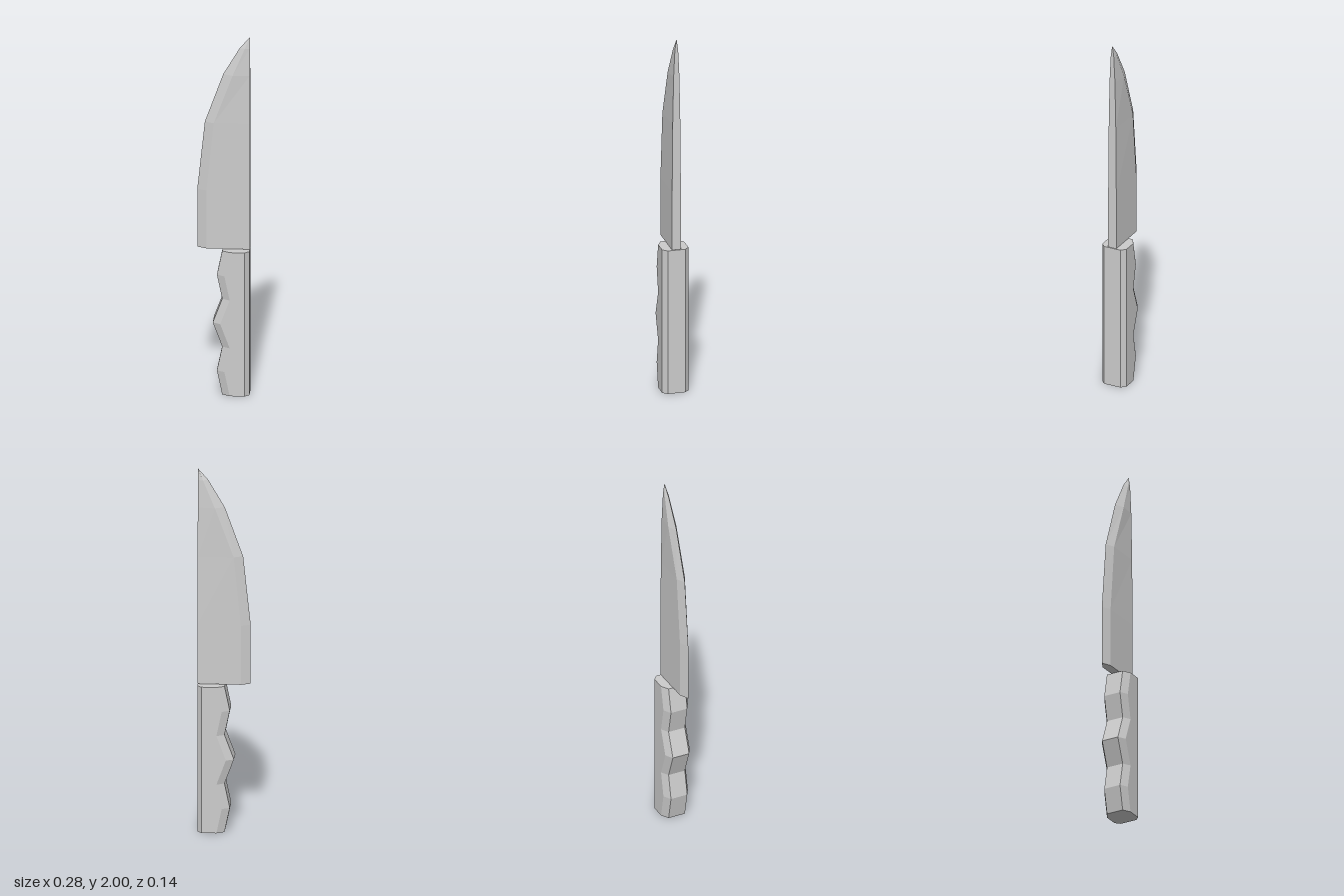
import * as THREE from 'three';

// Skins a stack of rings; each ring runs from -x through +z to +x and back, bottom ring first.
function loft(name, rings, material) {
  const pos = [];
  const tri = (a, b, c) => pos.push(...a, ...b, ...c);
  const n = rings[0].length;
  for (let r = 0; r < rings.length - 1; r++) {
    const lo = rings[r], hi = rings[r + 1];
    for (let i = 0; i < n; i++) {
      const j = (i + 1) % n;
      tri(lo[i], lo[j], hi[j]);
      tri(lo[i], hi[j], hi[i]);
    }
  }
  const bottom = rings[0], top = rings[rings.length - 1];
  for (let i = 1; i < n - 1; i++) {
    tri(bottom[0], bottom[i + 1], bottom[i]);
    tri(top[0], top[i], top[i + 1]);
  }
  const geometry = new THREE.BufferGeometry();
  geometry.setAttribute('position', new THREE.Float32BufferAttribute(pos, 3));
  geometry.computeVertexNormals();
  const mesh = new THREE.Mesh(geometry, material);
  mesh.name = name;
  return mesh;
}

export function createModel() {
  const group = new THREE.Group();
  group.name = 'knife';
  const material = new THREE.MeshStandardMaterial({ color: 0xcccccc, flatShading: true });

  // Handle: chamfered octagon whose front edge swells into three finger ridges
  const frontX = [-0.005, -0.033, -0.005, -0.055, -0.005, -0.033, -0.005];
  const handleRings = frontX.map((x, i) => {
    const y = i * 0.135;
    return [
      [x, y, -0.048], [x, y, 0.048], [x + 0.041, y, 0.072], [0.115, y, 0.072],
      [0.139, y, 0.048], [0.139, y, -0.048], [0.115, y, -0.072], [x + 0.041, y, -0.072],
    ];
  });
  group.add(loft('handle', handleRings, material));

  // Blade: sharp edge, ground bevel and flat spine, curving up to the tip
  // [height, edge x, bevel x, bevel half thickness, spine half thickness]
  const sections = [
    [0.813, -0.14, -0.09, 0.024, 0.024],
    [1.14, -0.14, -0.09, 0.024, 0.024],
    [1.52, -0.1, -0.052, 0.024, 0.021],
    [1.79, -0.003, 0.048, 0.023, 0.016],
    [1.94, 0.085, 0.112, 0.012, 0.009],
    [2.0, 0.137, 0.138, 0.001, 0.001],
  ];
  const bladeRings = sections.map(([y, edge, bevel, t, s]) => [
    [edge, y, 0], [bevel, y, t], [0.139, y, s], [0.139, y, -s], [bevel, y, -t],
  ]);
  group.add(loft('blade', bladeRings, material));

  return group;
}
